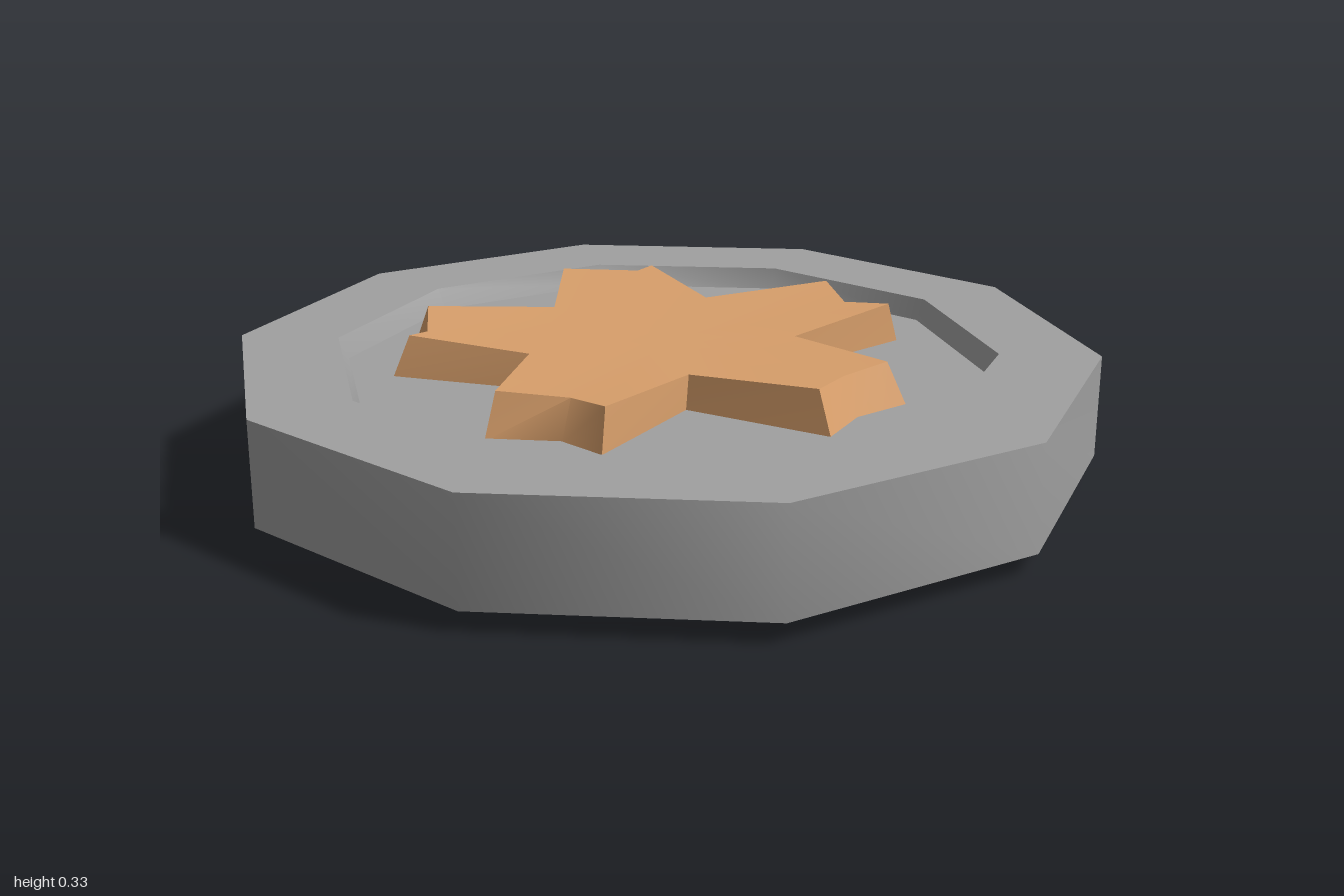
import * as THREE from 'three';
import { toCreasedNormals } from 'three/addons/utils/BufferGeometryUtils.js';

const MID = 0.165; // height of the middle plane of the disc

// Half of the blossom outline, mirrored across z: [top x, top z, top y, base x, base z]
const HALF = [
  [0.51, 0, 0.32, 0.55, 0],
  [0.535, -0.125, 0.327, 0.58, -0.14],
  [0.235, -0.19, 0.311, 0.24, -0.205],
  [0.28, -0.505, 0.33, 0.292, -0.53],
  [0.165, -0.485, 0.318, 0.175, -0.525],
  [0.04, -0.58, 0.33, 0.042, -0.617],
  [-0.13, -0.31, 0.312, -0.127, -0.328],
  [-0.405, -0.42, 0.326, -0.42, -0.462],
  [-0.405, -0.365, 0.323, -0.43, -0.385],
  [-0.545, -0.235, 0.33, -0.585, -0.245],
  [-0.352, 0, 0.313, -0.37, 0],
];

// Tapered blossom: a slightly dished top fan and sloping walls
function blossomGeometry() {
  const outline = HALF.concat(
    HALF.slice(1, -1).reverse().map(([x, z, y, bx, bz]) => [x, -z, y, bx, -bz]));
  const positions = [];
  const push = (...points) => points.forEach((p) => positions.push(...p));
  const centre = [0, 0.305, 0];
  outline.forEach((p, i) => {
    const q = outline[(i + 1) % outline.length];
    const topP = [p[0], p[2], p[1]], topQ = [q[0], q[2], q[1]];
    const baseP = [p[3], 0.23, p[4]], baseQ = [q[3], 0.23, q[4]];
    push(centre, topP, topQ);
    push(baseP, baseQ, topQ);
    push(baseP, topQ, topP);
  });
  const geometry = new THREE.BufferGeometry();
  geometry.setAttribute('position', new THREE.Float32BufferAttribute(positions, 3));
  return toCreasedNormals(geometry, 0.8);
}

export function createModel() {
  const grey = new THREE.MeshStandardMaterial({ color: 0xa0a0a0 });
  grey.name = 'grey metal';
  const copper = new THREE.MeshStandardMaterial({ color: 0xd89f6b });
  copper.name = 'copper';

  const group = new THREE.Group();
  group.name = 'blossomMedallion';

  // Ten-sided disc with a shallow recess on both faces
  const profile = [
    [0, 0.095], [0.745, 0.095], [0.768, 0.045], [1, 0.045],
    [1, 0.285], [0.768, 0.285], [0.745, 0.235], [0, 0.235],
  ].map(([r, y]) => new THREE.Vector2(r, y));
  const disc = new THREE.Mesh(
    toCreasedNormals(new THREE.LatheGeometry(profile, 10, Math.PI / 2), 0.8), grey);
  disc.name = 'disc';
  group.add(disc);

  // Raised blossom on the top, and the same turned over on the underside
  const geometry = blossomGeometry();
  const topBlossom = new THREE.Mesh(geometry, copper);
  topBlossom.name = 'topBlossom';
  const bottomBlossom = new THREE.Mesh(geometry, copper);
  bottomBlossom.name = 'bottomBlossom';
  bottomBlossom.rotation.z = Math.PI;
  bottomBlossom.position.y = 2 * MID;
  group.add(topBlossom, bottomBlossom);

  return group;
}
